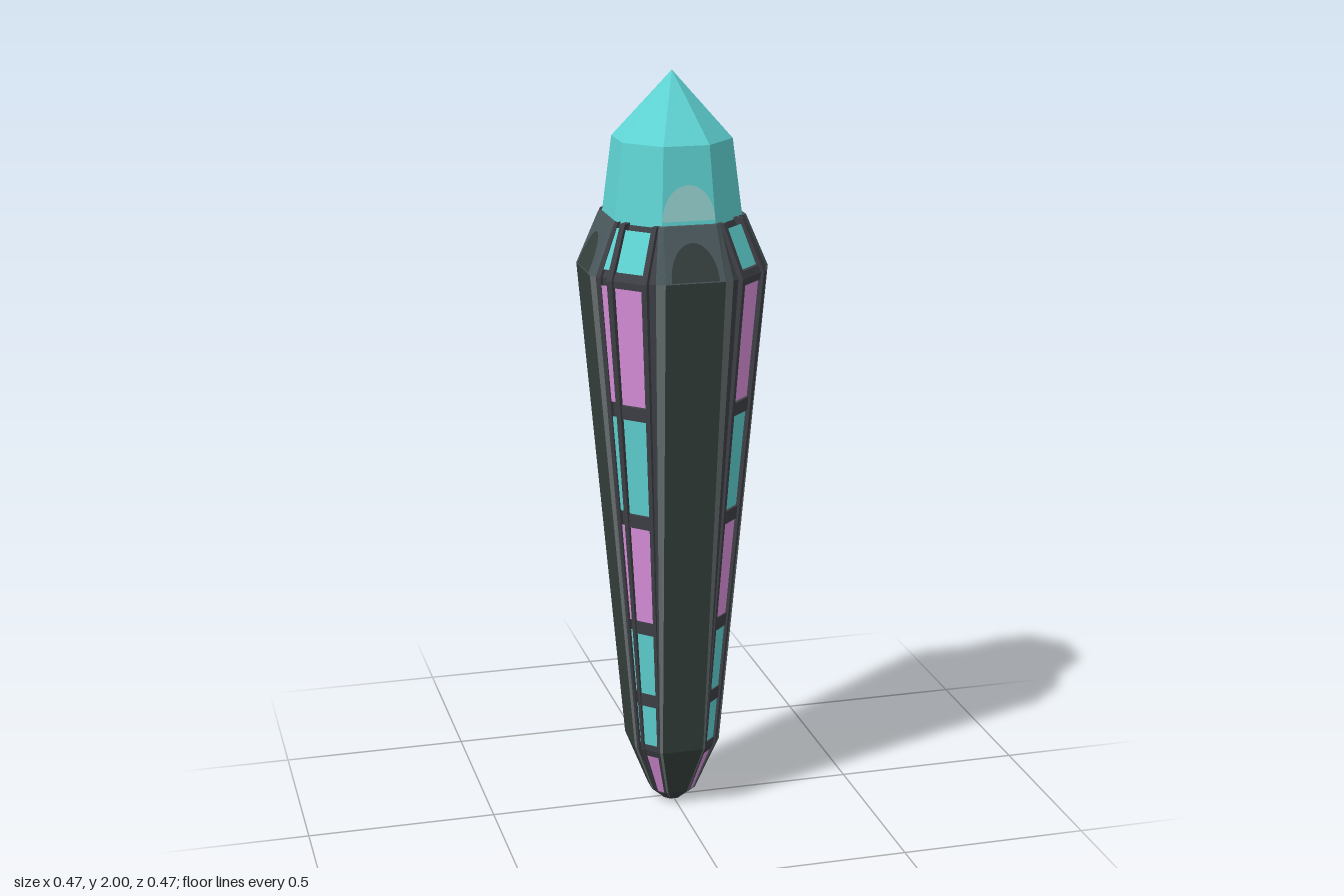
import * as THREE from 'three';

const mat = (name, color) => new THREE.MeshStandardMaterial({ name, color, side: THREE.DoubleSide });

// Height rings: y, apothem, diagonal width scale, panel flat half width, panel half width on z and on x
const RINGS = [
  [0.005, 0.03, 0.12, 0.012, 0.015, 0.014],
  [0.035, 0.062, 0.25, 0.026, 0.034, 0.032],
  [0.18, 0.118, 0.49, 0.056, 0.067, 0.062],
  [1.5, 0.235, 1, 0.078, 0.116, 0.108],
  [1.635, 0.178, 0.92, 0.068, 0.088, 0.084],
];

function ringAt(y) {
  let i = 0;
  while (i < RINGS.length - 2 && y > RINGS[i + 1][0]) i++;
  const a = RINGS[i], b = RINGS[i + 1];
  const k = (y - a[0]) / (b[0] - a[0]);
  return a.map((v, j) => v + (b[j] - v) * k);
}

const heights = (y0, y1) => [y0, ...RINGS.map(r => r[0]).filter(y => y > y0 + 1e-4 && y < y1 - 1e-4), y1];

// Flat-shaded skin over rows of points
function loft(rows, flip, capped) {
  const pos = [];
  const tri = (a, b, c) => pos.push(...a, ...(flip ? c : b), ...(flip ? b : c));
  for (let i = 0; i < rows.length - 1; i++) {
    for (let j = 0; j < rows[i].length - 1; j++) {
      const a = rows[i][j], b = rows[i][j + 1], c = rows[i + 1][j + 1], d = rows[i + 1][j];
      tri(a, b, c);
      tri(a, c, d);
    }
  }
  if (capped) {
    const lo = rows[0], hi = rows[rows.length - 1];
    for (let j = 1; j < lo.length - 1; j++) {
      tri(lo[0], lo[j + 1], lo[j]);
      tri(hi[0], hi[j], hi[j + 1]);
    }
  }
  const g = new THREE.BufferGeometry();
  g.setAttribute('position', new THREE.Float32BufferAttribute(pos, 3));
  g.computeVertexNormals();
  return g;
}

// Eight-sided turned solid whose flats face the axes
function octagon(profile) {
  const pts = profile.map(([r, y]) => new THREE.Vector2(r / Math.cos(Math.PI / 8), y));
  const g = new THREE.LatheGeometry(pts, 8, Math.PI / 8).toNonIndexed();
  g.computeVertexNormals();
  return g;
}

function arch(w, h) {
  const s = new THREE.Shape();
  s.absellipse(0, 0, w, h, 0, Math.PI, false);
  return new THREE.ShapeGeometry(s, 16);
}

export function createModel() {
  const cyan = mat('cyan crystal', 0x5fd3d3);
  const pale = mat('pale crystal', 0x96d2d0);
  const pink = mat('pink crystal', 0xdb90dc);
  const dark = mat('dark panel', 0x35403d);
  const slate = mat('slate shoulder', 0x4a585c);
  const edge = mat('grey bevel', 0x687070);
  const frame = mat('dark frame', 0x3e4046);

  const model = new THREE.Group();
  model.name = 'crystalPillar';
  const add = (parent, name, geo, material) => {
    const m = new THREE.Mesh(geo, material);
    m.name = name;
    parent.add(m);
    return m;
  };

  // Crystal tip and hidden inner core
  add(model, 'crystalTip', octagon([[0.16, 1.4], [0.168, 1.63], [0.144, 1.83], [0, 2]]), cyan);
  add(model, 'innerCore', octagon([[0, 0], [0.026, 0], [0.055, 0.035], [0.105, 0.18], [0.2, 1.45], [0.15, 1.6]]), frame);
  for (const side of [0, 1]) {
    const holder = new THREE.Group();
    holder.name = 'crystalGlint';
    holder.rotation.y = side * Math.PI;
    const glint = add(holder, 'glintPlate', arch(0.068, 0.09), pale);
    glint.position.set(0, 1.645, 0.1685);
    glint.rotation.x = -Math.atan2(0.024, 0.2);
    model.add(holder);
  }

  // Four broad panels with stepped bevels
  for (let q = 0; q < 4; q++) {
    const panel = new THREE.Group();
    panel.name = 'sidePanel';
    panel.rotation.y = q * Math.PI / 2;
    const strip = (y0, y1, section) => loft(heights(y0, y1).map(y => {
      const r = ringAt(y);
      const wi = r[3], w = r[4 + q % 2], d = r[1];
      const wm = wi + (w - wi) * 0.6, drop = 0.085 * d;
      return section(wi, wm, w, d, drop).map(([u, z]) => [u, y, z]);
    }), false);
    const face = (wi, wm, w, d) => [[-wi, d], [wi, d]];
    add(panel, 'panelFace', strip(0.005, 1.5, face), dark);
    add(panel, 'panelShoulder', strip(1.5, 1.635, face), slate);
    for (const s of [-1, 1]) {
      const order = a => (s < 0 ? a.reverse() : a);
      const bevel = (wi, wm, w, d, drop) => order([[s * wi, d], [s * wm, d - drop * 0.55]]);
      add(panel, 'panelBevel', strip(0.005, 1.5, bevel), edge);
      add(panel, 'shoulderBevel', strip(1.5, 1.635, bevel), slate);
      add(panel, 'panelRim', strip(0.005, 1.635, (wi, wm, w, d, drop) =>
        order([[s * wm, d - drop * 0.55], [s * w, d - drop], [s * w * 0.92, d * 0.8]])), frame);
    }
    add(panel, 'panelTop', loft([
      [[-0.084, 1.62, 0.165], [0.084, 1.62, 0.165]].map(([x, , z]) => [x, 1.635, z]),
      [[-0.068, 1.635, 0.178], [0.068, 1.635, 0.178]],
    ], true), slate);
    const mark = add(panel, 'shoulderArch', arch(0.062, 0.1), dark);
    mark.position.set(0, 1.503, 0.2355);
    mark.rotation.x = -Math.atan2(0.057, 0.135);
    model.add(panel);
  }

  // Four corner columns: framed coloured tiles with a narrow band beside each
  const tiles = [
    [0.03, 0.165, pink], [0.19, 0.315, cyan], [0.35, 0.53, cyan], [0.56, 0.83, pink],
    [0.87, 1.13, cyan], [1.17, 1.48, pink], [1.52, 1.62, cyan],
  ];
  const bars = [0.178, 0.332, 0.545, 0.85, 1.15, 1.5];
  for (const mx of [-1, 1]) for (const mz of [-1, 1]) {
    const column = new THREE.Group();
    column.name = 'cornerColumn';
    const build = (y0, y1, section, capped) => loft(heights(y0, y1).map(y => {
      const [, d, su] = ringAt(y);
      return section.map(([u, n]) => {
        const r = n * d / 0.235;
        return [mx * (r + u * su) * Math.SQRT1_2, y, mz * (r - u * su) * Math.SQRT1_2];
      });
    }), mx * mz < 0, capped);
    const block = (y0, y1, u0, u1, n0, n1) =>
      build(y0, y1, [[u0, n0], [u0, n1], [u1, n1], [u1, n0], [u0, n0]], true);

    add(column, 'columnBacking', build(0.005, 1.63, [[-0.075, 0.222], [0.082, 0.222]]), frame);
    for (const [y0, y1, m] of tiles) {
      add(column, 'tile', build(y0, y1, [[-0.056, 0.241], [0.027, 0.241]]), m);
      add(column, 'narrowTile', build(y0, y1, [[0.042, 0.227], [0.077, 0.227]]), m);
    }
    for (const y of bars) {
      add(column, 'crossBar', block(y - 0.018, y + 0.018, -0.06, 0.03, 0.22, 0.247), frame);
    }
    add(column, 'innerRail', block(0.005, 1.635, -0.07, -0.055, 0.21, 0.247), frame);
    add(column, 'outerRail', block(0.005, 1.635, 0.026, 0.041, 0.21, 0.255), frame);
    model.add(column);
  }
  return model;
}
